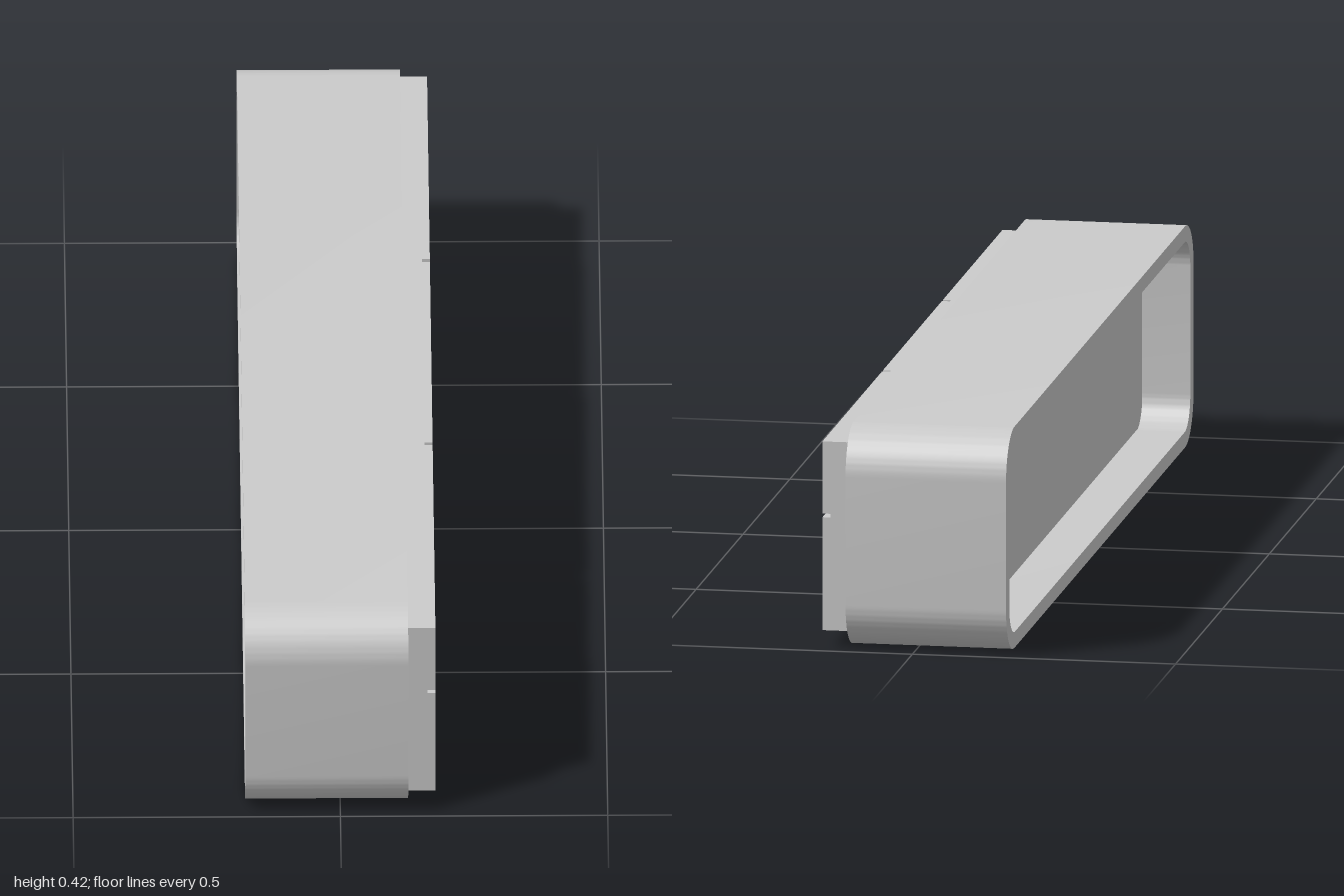
import * as THREE from 'three';
import { toCreasedNormals } from 'three/addons/utils/BufferGeometryUtils.js';

const material = new THREE.MeshStandardMaterial({ color: 0xcccccc });

// Rounded rectangle with half width w, between heights y0 and y1
function roundedRect(path, w, y0, y1, r) {
  path.moveTo(-w + r, y0);
  path.lineTo(w - r, y0);
  path.absarc(w - r, y0 + r, r, -Math.PI / 2, 0);
  path.lineTo(w, y1 - r);
  path.absarc(w - r, y1 - r, r, 0, Math.PI / 2);
  path.lineTo(-w + r, y1);
  path.absarc(-w + r, y1 - r, r, Math.PI / 2, Math.PI);
  path.lineTo(-w, y0 + r);
  path.absarc(-w + r, y0 + r, r, Math.PI, Math.PI * 1.5);
  return path;
}

export function createModel() {
  const group = new THREE.Group();
  group.name = 'wallCabinet';

  const add = (name, geometry) => {
    const mesh = new THREE.Mesh(geometry, material);
    mesh.name = name;
    group.add(mesh);
  };
  // Box given by its limits on each axis
  const box = (name, x0, x1, y0, y1, z0, z1) => {
    const g = new THREE.BoxGeometry(x1 - x0, y1 - y0, z1 - z0);
    g.translate((x0 + x1) / 2, (y0 + y1) / 2, (z0 + z1) / 2);
    add(name, g);
  };

  // Outer shell: rounded sleeve running along x
  const back = -0.178, shellFront = 0.127;
  const outline = roundedRect(new THREE.Shape(), 1, 0, 0.423, 0.09);
  outline.holes.push(roundedRect(new THREE.Path(), 0.965, 0.03, 0.393, 0.06));
  const shell = new THREE.ExtrudeGeometry(outline, {
    depth: shellFront - back, bevelEnabled: false, curveSegments: 12,
  });
  shell.rotateY(Math.PI / 2);
  shell.translate(back, 0, 0);
  add('shell', toCreasedNormals(shell, 0.6));

  // Carcass behind the fronts, with an open niche in the upper middle
  const W = 0.96, bottom = 0.031, top = 0.392;
  const panelBack = -0.087, nicheBack = 0.06, grooveX = 0.163, front = 0.178;
  const nicheHalf = 0.314, nicheFloor = 0.254, nicheTop = 0.35;
  box('carcassBack', panelBack, nicheBack, bottom, top, -W, W);
  box('carcassLower', nicheBack, grooveX, bottom, nicheFloor, -W, W);
  box('nicheLintel', nicheBack, grooveX, nicheTop, top, -nicheHalf, nicheHalf);
  box('carcassUpperLeft', nicheBack, grooveX, nicheFloor, top, nicheHalf, W);
  box('carcassUpperRight', nicheBack, grooveX, nicheFloor, top, -W, -nicheHalf);

  // Drawer fronts, separated by narrow grooves
  const columns = [['Right', -W, -0.324], ['Middle', -nicheHalf, nicheHalf], ['Left', 0.324, W]];
  for (const [side, z0, z1] of columns) {
    box('lowerFront' + side, grooveX, front, bottom, 0.247, z0, z1);
    const y0 = side === 'Middle' ? nicheTop : nicheFloor;
    box('upperFront' + side, grooveX, front, y0, top, z0, z1);
  }
  return group;
}
